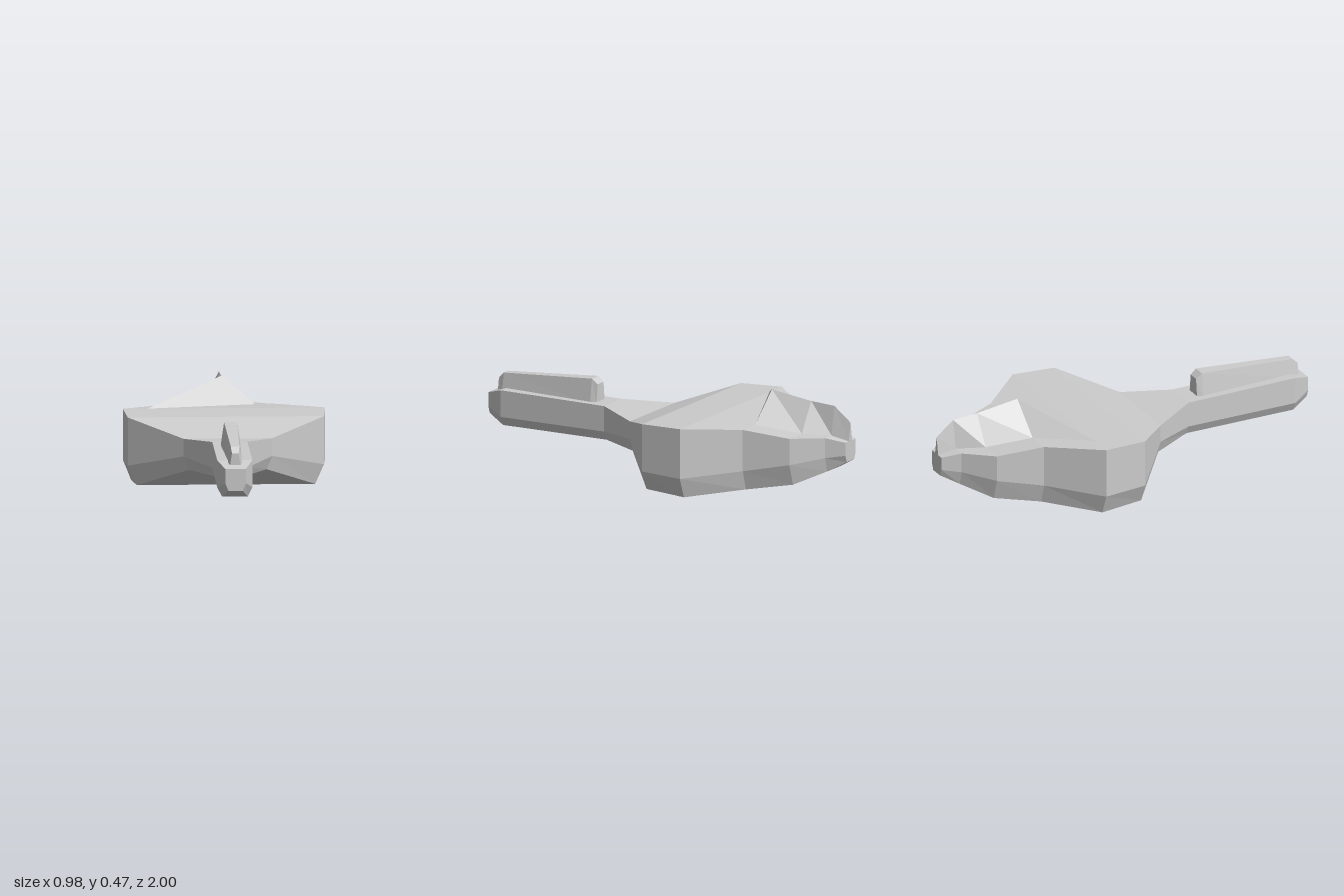
import * as THREE from 'three';

const grey = new THREE.MeshStandardMaterial({ color: 0xcccccc, flatShading: true });

// Flat-shaded mesh from a list of triangles of [x, y, z] corners
function facetedMesh(name, triangles) {
  const geometry = new THREE.BufferGeometry();
  geometry.setAttribute('position', new THREE.Float32BufferAttribute(triangles.flat(2), 3));
  geometry.computeVertexNormals();
  const mesh = new THREE.Mesh(geometry, grey);
  mesh.name = name;
  return mesh;
}

// Skin rings that run from front to back, each counter-clockwise seen from the front
function loft(rings) {
  const tris = [];
  const n = rings[0].length;
  for (let i = 0; i < rings.length - 1; i++) {
    const a = rings[i], b = rings[i + 1];
    for (let j = 0; j < n; j++) {
      const k = (j + 1) % n;
      tris.push([a[j], b[j], a[k]], [a[k], b[j], b[k]]);
    }
  }
  const first = rings[0], last = rings[rings.length - 1];
  for (let j = 1; j < n - 1; j++) {
    tris.push([first[0], first[j], first[j + 1]], [last[0], last[j + 1], last[j]]);
  }
  return tris;
}

export function createModel() {
  const model = new THREE.Group();
  model.name = 'lowPolyCraft';

  // Hull: z, half width, top y, side break y, bottom half width, bottom y
  const hull = [
    [1, 0.05, 0.27, 0.20, 0.035, 0.163],
    [0.91, 0.085, 0.298, 0.165, 0.062, 0.12],
    [0.33, 0.085, 0.292, 0.165, 0.062, 0.12],
    [0.11, 0.215, 0.272, 0.185, 0.188, 0.12],
    [-0.11, 0.475, 0.342, 0.106, 0.432, 0.01],
    [-0.33, 0.49, 0.348, 0.1, 0.45, 0],
    [-0.56, 0.28, 0.328, 0.122, 0.25, 0.025],
    [-0.78, 0.21, 0.296, 0.165, 0.175, 0.06],
    [-0.91, 0.09, 0.29, 0.19, 0.07, 0.12],
    [-1, 0.05, 0.27, 0.205, 0.035, 0.17],
  ].map(([z, w, top, mid, wb, bottom]) => [
    [w, top, z], [-w, top, z], [-w, mid, z], [-wb, bottom, z], [wb, bottom, z], [w, mid, z],
  ]);
  model.add(facetedMesh('hull', loft(hull)));

  // Tail fin: z, half width at the base, base y, ridge y
  const fin = [
    [-0.56, 0.16, 0.328, 0.47],
    [-0.78, 0.09, 0.296, 0.44],
    [-0.91, 0.028, 0.29, 0.432],
    [-1, 0.016, 0.27, 0.36],
  ].map(([z, w, base, ridge]) => [[w, base, z], [0, ridge, z], [-w, base, z]]);
  model.add(facetedMesh('tailFin', loft(fin)));

  // Skewed ramp joining the hull top to the fin
  const [right, apex, left] = fin[0];
  const foot = [-0.37, 0.348, -0.33];
  model.add(facetedMesh('finRamp', [[apex, foot, right], [apex, left, foot]]));

  // Rail on the nose: z, top half width, top y, bottom half width
  const rail = [
    [0.96, 0.016, 0.34, 0.026],
    [0.93, 0.021, 0.37, 0.036],
    [0.43, 0.032, 0.405, 0.05],
    [0.4, 0.028, 0.38, 0.04],
  ].map(([z, wt, top, wb]) => [[wt, top, z], [-wt, top, z], [-wb, 0.28, z], [wb, 0.28, z]]);
  model.add(facetedMesh('noseRail', loft(rail)));

  return model;
}
